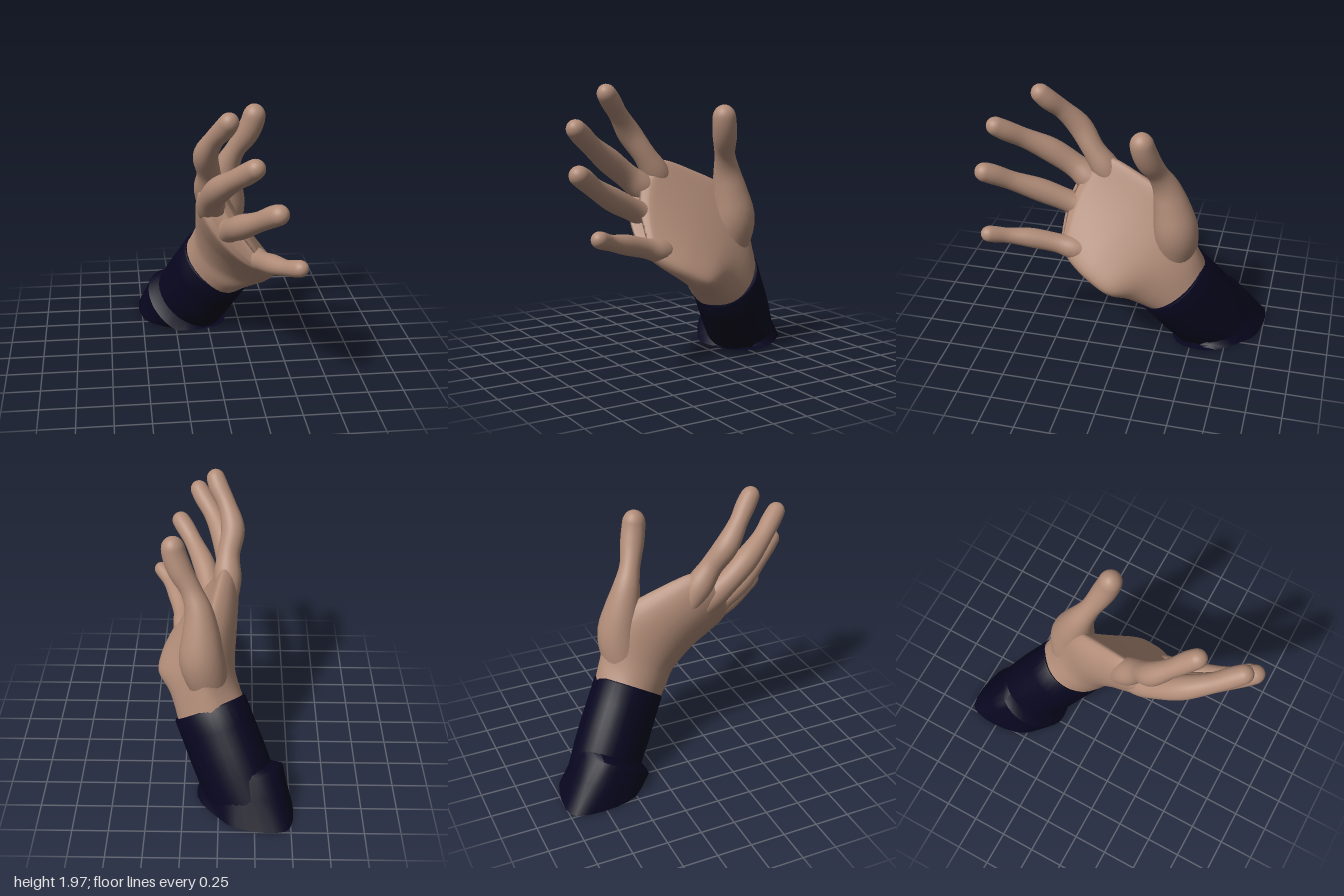
import * as THREE from 'three';
import { toCreasedNormals } from 'three/addons/utils/BufferGeometryUtils.js';

const V = (x, y, z) => new THREE.Vector3(x, y, z);
const SIDES = 32;
const PALM_NORMAL = V(0.83, 0.4, -0.39).normalize();
const WRIST_NORMAL = V(0.74, 0.07, -0.66).normalize();

// Skin a list of closed rings (counter-clockwise around the path), capped at both ends.
function loft(rings) {
  const n = rings[0].length, pos = [], idx = [];
  rings.forEach(r => r.forEach(p => pos.push(p.x, p.y, p.z)));
  for (let i = 0; i < rings.length - 1; i++) {
    for (let j = 0; j < n; j++) {
      const k = (j + 1) % n;
      const a = i * n + j, b = i * n + k, c = a + n, d = b + n;
      idx.push(a, b, c, b, d, c);
    }
  }
  const last = rings.length - 1;
  [0, last].forEach(i => {
    const mid = rings[i].reduce((s, p) => s.add(p), V(0, 0, 0)).divideScalar(n);
    const m = pos.length / 3;
    pos.push(mid.x, mid.y, mid.z);
    for (let j = 0; j < n; j++) {
      const a = i * n + j, b = i * n + (j + 1) % n;
      if (i === 0) idx.push(m, b, a); else idx.push(m, a, b);
    }
  });
  const g = new THREE.BufferGeometry();
  g.setAttribute('position', new THREE.Float32BufferAttribute(pos, 3));
  g.setIndex(idx);
  g.computeVertexNormals();
  return g;
}

// Elliptical ring about a centre, perpendicular to an axis; ru lies along ref.
function ring(centre, axis, ref, ru, rv = ru) {
  const u = ref.clone().addScaledVector(axis, -ref.dot(axis)).normalize();
  const v = axis.clone().cross(u);
  return Array.from({ length: SIDES }, (_, j) => {
    const a = j / SIDES * Math.PI * 2;
    return centre.clone().addScaledVector(u, ru * Math.cos(a)).addScaledVector(v, rv * Math.sin(a));
  });
}

// Finger: tube along [x, y, z, radius] points, closed by a round tip.
function fingerGeometry(points) {
  const path = new THREE.CatmullRomCurve3(points.map(p => V(p[0], p[1], p[2])));
  const radius = new THREE.CatmullRomCurve3(points.map((p, i) => V(p[3], i, 0)));
  const tip = path.getPoint(1), rings = [], N = 44;
  for (let i = 0; i < N; i++) {
    const t = 1 - Math.pow(1 - i / N, 1.8);
    const c = path.getPoint(t);
    let r = radius.getPoint(t).x;
    const left = c.distanceTo(tip);
    if (t > 0.6 && left < r) r *= Math.sqrt(1 - (1 - left / r) ** 2);
    rings.push(ring(c, path.getTangent(t), PALM_NORMAL, r));
  }
  rings.push(ring(tip, path.getTangent(1), PALM_NORMAL, 0.002));
  return loft(rings);
}

// Palm: flattened sections, each [thumb edge, middle, little-finger edge, half thickness].
function palmGeometry() {
  const sections = [
    [[-0.1, 0.68, -0.515], [0.045, 0.52, -0.365], [0.19, 0.36, -0.215], 0.23],
    [[-0.01, 0.83, -0.485], [0.07, 0.67, -0.28], [0.29, 0.49, -0.05], 0.215],
    [[0.06, 1.0, -0.47], [0.085, 0.8, -0.17], [0.41, 0.58, 0.06], 0.19],
    [[0.02, 1.22, -0.3], [0.06, 0.97, 0], [0.4, 0.67, 0.2], 0.16],
    [[-0.02, 1.34, -0.08], [0.03, 1.09, 0.18], [0.355, 0.74, 0.31], 0.133],
    [[-0.05, 1.42, 0.11], [0.005, 1.18, 0.33], [0.3, 0.81, 0.4], 0.1],
    [[-0.05, 1.42, 0.15], [0.005, 1.2, 0.375], [0.29, 0.83, 0.42], 0.05],
  ];
  const tracks = [0, 1, 2].map(k => new THREE.CatmullRomCurve3(sections.map(s => V(...s[k]))));
  const thick = new THREE.CatmullRomCurve3(sections.map((s, i) => V(s[3], i * 0.2, 0)));
  const rings = [];
  for (let i = 0; i <= 30; i++) {
    const [A, M, B] = tracks.map(c => c.getPoint(i / 30));
    const t = thick.getPoint(i / 30).x;
    const normal = WRIST_NORMAL.clone().lerp(PALM_NORMAL, Math.min(1, i / 10)).normalize();
    rings.push(Array.from({ length: 40 }, (_, j) => {
      const a = -j / 40 * Math.PI * 2, u = Math.cos(a), s = Math.sin(a);
      // quadratic arch through the three points, thickened along the normal
      return V(0, 0, 0)
        .addScaledVector(A, u * (u + 1) / 2)
        .addScaledVector(M, 1 - u * u)
        .addScaledVector(B, u * (u - 1) / 2)
        .addScaledVector(normal, t * Math.sign(s) * Math.pow(Math.abs(s), 0.75));
    }));
  }
  return loft(rings);
}

export function createModel() {
  const group = new THREE.Group();
  const skin = new THREE.MeshStandardMaterial({ color: 0xb18c78 });
  skin.name = 'skin';
  const navy = new THREE.MeshStandardMaterial({ color: 0x07061f });
  navy.name = 'navy cloth';
  const add = (name, geometry, material) => {
    const mesh = new THREE.Mesh(geometry, material);
    mesh.name = name;
    group.add(mesh);
  };

  add('palm', palmGeometry(), skin);

  // Fingers, from inside the palm to the tip, thicker at the joints
  const fingers = {
    indexFinger: [[-0.06, 1.13, 0.05, 0.05], [-0.05, 1.32, 0.16, 0.098], [-0.055, 1.47, 0.26, 0.08],
      [-0.085, 1.62, 0.36, 0.084], [-0.04, 1.76, 0.47, 0.066], [0.02, 1.86, 0.56, 0.07], [0.06, 1.955, 0.64, 0.06]],
    middleFinger: [[-0.03, 1.05, 0.1, 0.05], [-0.04, 1.22, 0.26, 0.1], [-0.05, 1.33, 0.4, 0.086],
      [-0.015, 1.45, 0.56, 0.087], [0.06, 1.56, 0.72, 0.07], [0.14, 1.65, 0.84, 0.07], [0.2, 1.725, 0.935, 0.06]],
    ringFinger: [[0.03, 0.95, 0.12, 0.05], [0.05, 1.04, 0.28, 0.095], [0.08, 1.11, 0.42, 0.08],
      [0.13, 1.2, 0.6, 0.083], [0.215, 1.3, 0.78, 0.067], [0.29, 1.38, 0.9, 0.07], [0.35, 1.43, 0.99, 0.062]],
    littleFinger: [[0.23, 0.79, 0.14, 0.04], [0.27, 0.84, 0.3, 0.082], [0.29, 0.88, 0.44, 0.069],
      [0.34, 0.93, 0.62, 0.069], [0.4, 0.965, 0.76, 0.054], [0.46, 1.0, 0.86, 0.057], [0.505, 1.025, 0.92, 0.05]],
    thumb: [[0.05, 0.62, -0.34, 0.11], [0.08, 0.82, -0.365, 0.145], [0.12, 1.0, -0.37, 0.157], [0.125, 1.18, -0.34, 0.13],
      [0.14, 1.34, -0.3, 0.096], [0.19, 1.47, -0.25, 0.073], [0.265, 1.6, -0.2, 0.084],
      [0.305, 1.71, -0.17, 0.083], [0.32, 1.825, -0.155, 0.072]],
  };
  for (const [name, points] of Object.entries(fingers)) add(name, fingerGeometry(points), skin);

  // Sleeve rings follow the forearm, flattened like the wrist, and are cut off at the ground
  const axis = V(0.37, 0.79, 0.49).normalize(), wrist = V(0.07, 0.57, -0.33);
  const sleeveRing = (s, r, shift = 0) => {
    const centre = wrist.clone().addScaledVector(axis, s).addScaledVector(WRIST_NORMAL, -shift);
    const pts = ring(centre, axis, V(-1, 0, 1), r * 0.88, r * 1.04);
    pts.forEach(p => { p.y = Math.max(0, p.y); });
    return pts;
  };
  const cuff = [[-0.7, 0.27], [-0.5, 0.283], [-0.34, 0.287], [-0.17, 0.284], [-0.01, 0.284], [0, 0.276], [-0.02, 0.2]];
  add('cuff', toCreasedNormals(loft(cuff.map(c => sleeveRing(...c))), 0.8), navy);

  // Wider lower sleeve, flaring to an uneven outline at the ground
  const outline = new THREE.CatmullRomCurve3([[-0.46, -0.5], [-0.15, -0.33], [0.1, -0.4], [0.15, -0.64],
    [-0.01, -0.87], [-0.12, -0.96], [-0.46, -0.99], [-0.52, -0.85]].map(p => V(p[0], 0, p[1])), true);
  const base = Array.from({ length: SIDES }, (_, j) => outline.getPoint(j / SIDES));
  const top = sleeveRing(-0.56, 0.31, 0.055);
  const middle = base.map((p, j) => p.clone().lerp(top[j], 0.6));
  add('lowerSleeve', toCreasedNormals(loft([base, middle, top, sleeveRing(-0.5, 0.27)]), 0.8), navy);

  return group;
}
